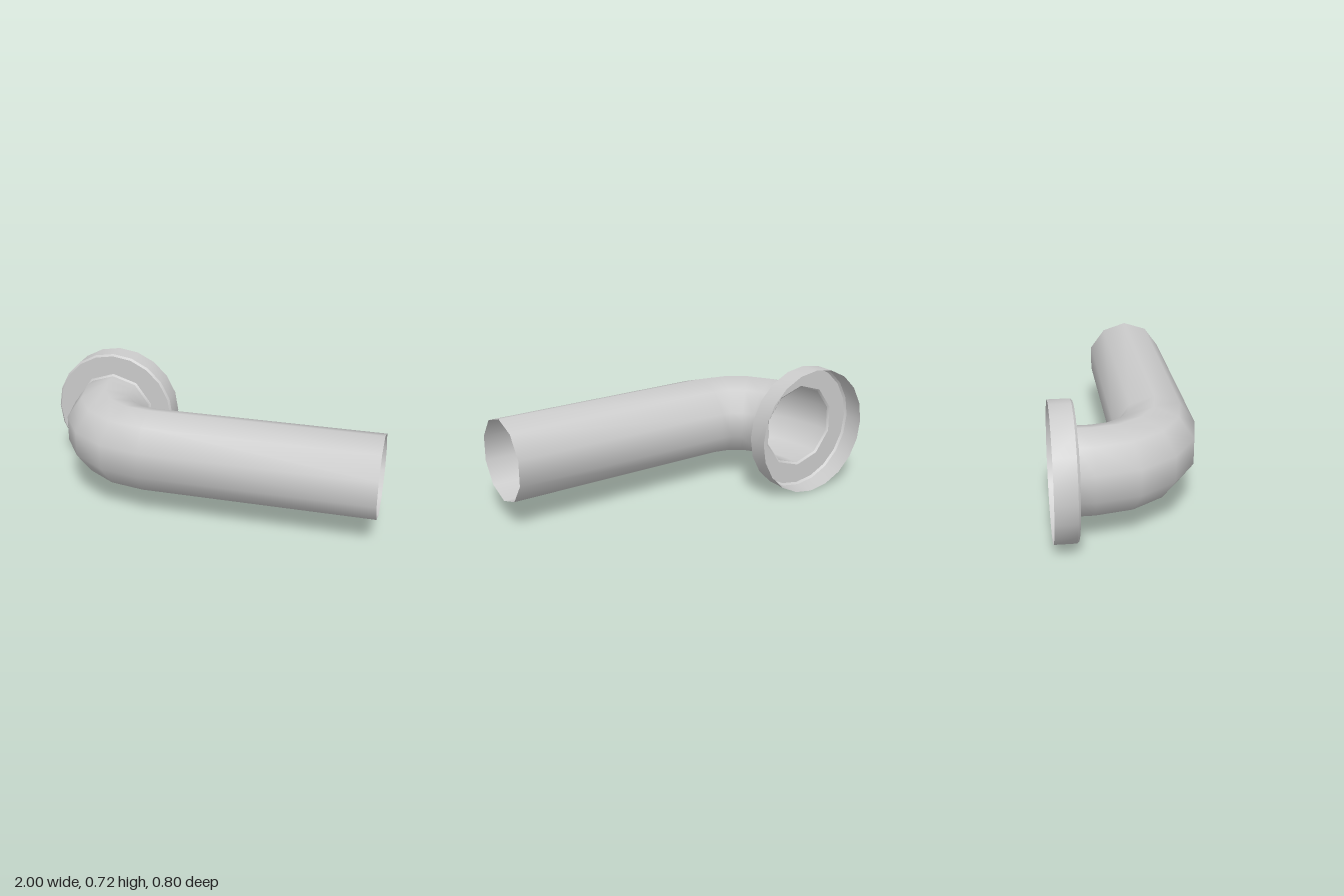
import * as THREE from 'three';
import { toCreasedNormals } from 'three/addons/utils/BufferGeometryUtils.js';

const SIDES = 10, RADIUS = 0.229, BEND = 0.37;
const CX = -0.64, CY = 0.362;          // axis of the flange
const BX = CX + BEND, BZ = -0.19;      // centre of the elbow's bend
const COLLAR = 0.24, FACE_Z = -0.275;

// Angle of each corner of the ten-sided pipe, one corner pointing straight up
const corner = (j) => Math.PI / 2 + (j * 2 * Math.PI) / SIDES;

// Lofts ten-sided rings; t is how far the ring has turned from facing +z to +x
function loftPipe(rings) {
  const pos = [], index = [];
  rings.forEach(({ x, z, t, r }, i) => {
    for (let j = 0; j < SIDES; j++) {
      const out = r * Math.cos(corner(j));
      pos.push(x - out * Math.cos(t), CY + r * Math.sin(corner(j)), z + out * Math.sin(t));
      if (i === 0) continue;
      const k = (j + 1) % SIDES, p = (i - 1) * SIDES, q = i * SIDES;
      index.push(p + j, q + j, p + k, p + k, q + j, q + k);
    }
  });
  const geo = new THREE.BufferGeometry();
  geo.setAttribute('position', new THREE.Float32BufferAttribute(pos, 3));
  geo.setIndex(index);
  geo.computeVertexNormals();
  return geo;
}

export function createModel() {
  const group = new THREE.Group();
  const material = new THREE.MeshStandardMaterial({ color: 0xcccccc, side: THREE.DoubleSide });
  const add = (name, geometry) => {
    const mesh = new THREE.Mesh(geometry, material);
    mesh.name = name;
    group.add(mesh);
    return mesh;
  };

  // Pipe: short neck, four-step elbow, long straight run, open at both ends
  const rings = [{ x: CX, z: -0.265, t: 0, r: RADIUS }];
  for (let i = 0; i <= 4; i++) {
    const t = (i * Math.PI) / 8;
    rings.push({ x: BX - BEND * Math.cos(t), z: BZ + BEND * Math.sin(t), t, r: RADIUS });
  }
  rings.push({ x: 1, z: BZ + BEND, t: Math.PI / 2, r: RADIUS });
  add('pipe', loftPipe(rings));

  // Small flare where the pipe meets the flange
  add('collar', loftPipe([
    { x: CX, z: FACE_Z, t: 0, r: COLLAR },
    { x: CX, z: -0.265, t: 0, r: RADIUS },
  ]));

  // Flange rim with bevelled front edge, hollow at the back
  const profile = [[0.36, -0.4], [0.36, -0.286], [0.349, FACE_Z]].map(([r, y]) => new THREE.Vector2(r, y));
  const rim = new THREE.LatheGeometry(profile, 20).rotateX(Math.PI / 2);
  add('flangeRim', toCreasedNormals(rim, 0.6)).position.set(CX, CY, 0);

  // Flange face with a ten-sided opening for the pipe
  const polygon = (n, r, angle) =>
    Array.from({ length: n }, (_, j) => new THREE.Vector2(r * Math.cos(angle(j)), r * Math.sin(angle(j))));
  const face = new THREE.Shape(polygon(20, 0.349, (j) => (j * Math.PI) / 10));
  face.holes.push(new THREE.Path(polygon(SIDES, COLLAR, corner)));
  add('flangeFace', new THREE.ShapeGeometry(face)).position.set(CX, CY, FACE_Z);

  return group;
}
